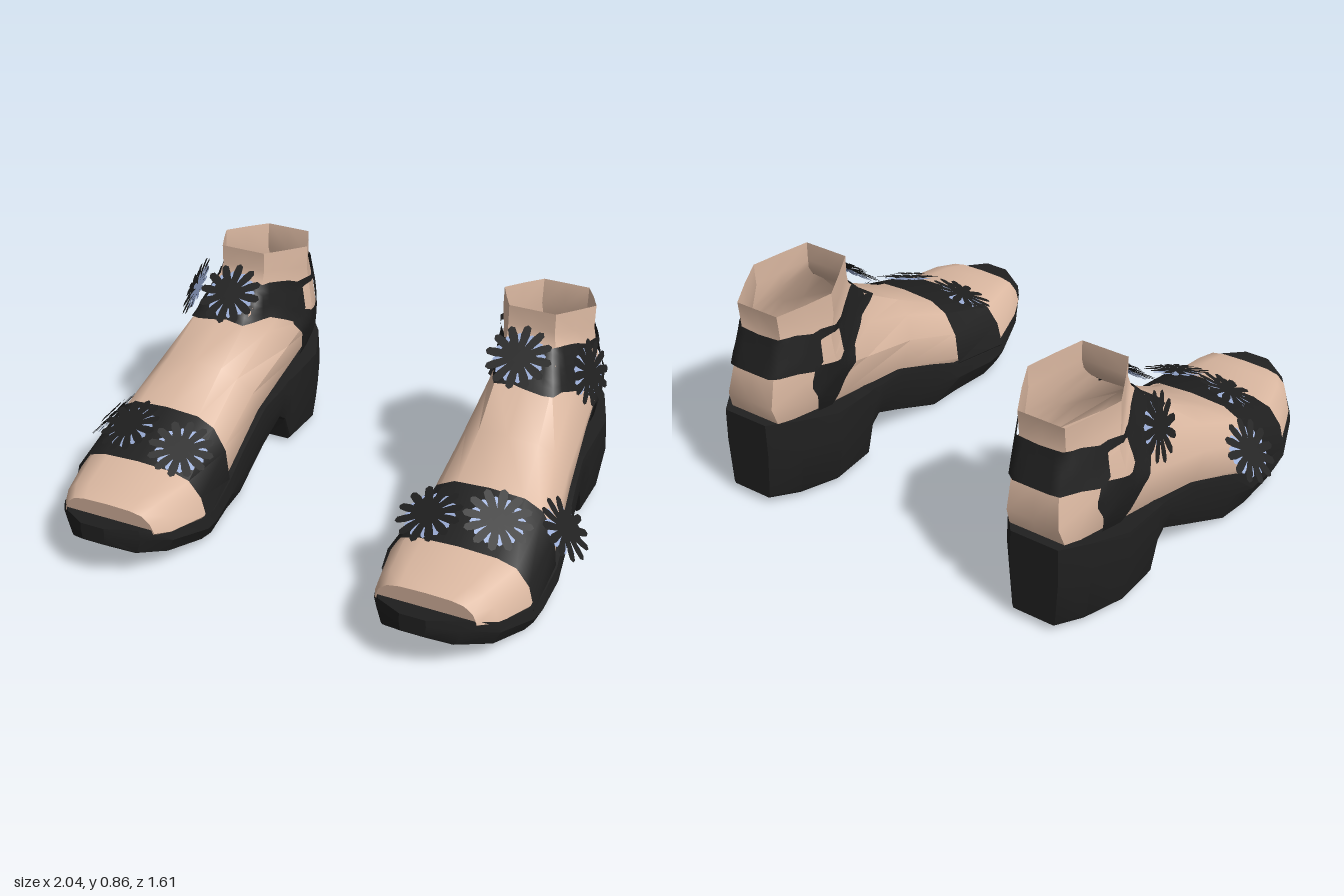
import * as THREE from 'three';
import { toCreasedNormals } from 'three/addons/utils/BufferGeometryUtils.js';

const makeMaterial = (name, color) => {
  const m = new THREE.MeshStandardMaterial({ color, side: THREE.DoubleSide });
  m.name = name;
  return m;
};

// Half outlines of a cross-section: [distance from top to bottom, fraction of half width]
const TOE = [[0, 0], [0.03, 0.5], [0.13, 0.75], [0.42, 0.92], [0.85, 1], [1, 0.92], [1, 0]];
const ANKLE = [[0, 0], [0, 0.5], [0.25, 0.76], [0.5, 1], [0.75, 0.77], [1, 0.5], [1, 0]];
const SOLE = [[0, 0], [0, 0.6], [0, 0.97], [0.4, 1], [0.96, 0.89], [1, 0.84], [1, 0]];

// Closed ring between a top point and a bottom point (z, y), spanning x0..x1
function ring(profile, [tz, ty, bz, by, x0, x1]) {
  const cx = (x0 + x1) / 2, hw = (x1 - x0) / 2;
  const point = ([t, w], s) => [cx + s * w * hw, ty + (by - ty) * t, tz + (bz - tz) * t];
  const right = profile.map(p => point(p, 1));
  const left = profile.slice(1, -1).reverse().map(p => point(p, -1));
  return [...right, ...left];
}

// Skin over rings, with optional flat ends
function loft(rings, capStart, capEnd, crease) {
  const n = rings[0].length, pos = rings.flat(2), idx = [];
  for (let i = 0; i < rings.length - 1; i++) {
    for (let j = 0; j < n; j++) {
      const a = i * n + j, b = i * n + (j + 1) % n;
      idx.push(a, b, a + n, b, b + n, a + n);
    }
  }
  const last = (rings.length - 1) * n;
  for (let j = 1; j < n - 1; j++) {
    if (capStart) idx.push(0, j + 1, j);
    if (capEnd) idx.push(last, last + j, last + j + 1);
  }
  const g = new THREE.BufferGeometry();
  g.setAttribute('position', new THREE.Float32BufferAttribute(pos, 3));
  g.setIndex(idx);
  return toCreasedNormals(g, crease);
}

const mixProfile = k => TOE.map((p, i) => p.map((v, c) => v + (ANKLE[i][c] - v) * k));

// Foot stations: ankle blend, then top z, y, bottom z, y, inner x, outer x
const FOOT = [
  [0, 0.70, 0.265, 0.69, 0.17, 0.44, 0.82],
  [0, 0.62, 0.28, 0.62, 0.14, 0.41, 0.87],
  [0, 0.45, 0.29, 0.45, 0.11, 0.37, 0.925],
  [0.1, 0.20, 0.39, 0.20, 0.12, 0.405, 0.92],
  [0.35, 0.0, 0.505, -0.14, 0.23, 0.42, 0.88],
  [0.7, -0.20, 0.63, -0.50, 0.27, 0.415, 0.845],
  [0.9, -0.27, 0.685, -0.75, 0.32, 0.41, 0.83],
  [1, -0.29, 0.705, -0.785, 0.43, 0.41, 0.82],
  [1, -0.32, 0.74, -0.76, 0.55, 0.42, 0.795],
  [1, -0.33, 0.78, -0.71, 0.69, 0.42, 0.785],
  [1, -0.33, 0.855, -0.72, 0.79, 0.42, 0.785],
];

// Sole stations: z, inner x, outer x, bottom y, top y
const SOLE_STATIONS = [
  [0.805, 0.58, 0.68, 0.165, 0.235], [0.74, 0.47, 0.78, 0.115, 0.22],
  [0.62, 0.405, 0.88, 0.065, 0.165], [0.45, 0.355, 0.94, 0.025, 0.125],
  [0.37, 0.36, 0.945, 0.003, 0.125], [0.20, 0.39, 0.94, 0, 0.14],
  [0.07, 0.40, 0.92, 0, 0.2], [-0.14, 0.41, 0.885, 0.095, 0.285],
  [-0.28, 0.405, 0.86, 0.16, 0.30], [-0.33, 0.405, 0.86, 0.12, 0.31],
  [-0.36, 0.40, 0.86, 0.015, 0.31], [-0.55, 0.39, 0.86, 0.018, 0.33],
  [-0.70, 0.455, 0.80, 0.023, 0.355], [-0.80, 0.535, 0.73, 0.03, 0.36],
];

// Strip laid over the ankle: columns of [degrees from the front, low y, high y]
function drape(target, columns, side) {
  const caster = new THREE.Raycaster(), pos = [], idx = [], rows = 6, steps = 5;
  const count = (columns.length - 1) * steps;
  for (let i = 0; i <= count; i++) {
    const k = Math.min(Math.floor(i / steps), columns.length - 2), f = i / steps - k;
    const [deg, lo, hi] = columns[k].map((v, c) => v + (columns[k + 1][c] - v) * f);
    const a = THREE.MathUtils.degToRad(deg) * side;
    const dir = new THREE.Vector3(Math.sin(a), 0, Math.cos(a));
    for (let j = 0; j <= rows; j++) {
      caster.set(new THREE.Vector3(0.6, lo + (hi - lo) * j / rows, -0.52), dir);
      const hit = caster.intersectObject(target)[0];
      const p = hit ? hit.point : caster.ray.at(0.2, new THREE.Vector3());
      p.addScaledVector(dir, 0.014);
      pos.push(p.x, p.y, p.z);
      if (i < count && j < rows) {
        const q = i * (rows + 1) + j, r = q + rows + 1;
        idx.push(q, r, q + 1, r, r + 1, q + 1);
      }
    }
  }
  const g = new THREE.BufferGeometry();
  g.setAttribute('position', new THREE.Float32BufferAttribute(pos, 3));
  g.setIndex(idx);
  g.computeVertexNormals();
  return g;
}

// Flat ring of rounded petals
function petals(radius, count, turn) {
  const outline = [[-0.5, 0.36], [-0.36, 0.7], [-0.22, 0.93], [0, 1], [0.22, 0.93], [0.36, 0.7]];
  const pts = [], step = Math.PI * 2 / count;
  for (let k = 0; k < count; k++) {
    for (const [f, r] of outline) {
      const a = (k + f + turn) * step;
      pts.push(new THREE.Vector2(Math.cos(a) * r * radius, Math.sin(a) * r * radius));
    }
  }
  return new THREE.ShapeGeometry(new THREE.Shape(pts));
}

export function createModel() {
  const skin = makeMaterial('skin', 0xdcb9a2);
  const black = makeMaterial('black leather', 0x202020);
  const blue = makeMaterial('pale blue petal', 0x9db0da);
  const model = new THREE.Group();
  const shoe = new THREE.Group();
  model.name = 'sandals';
  shoe.name = 'leftSandal';
  const add = (parent, name, geometry, material) => {
    const mesh = new THREE.Mesh(geometry, material);
    mesh.name = name;
    parent.add(mesh);
    return mesh;
  };

  // Foot, open at the ankle
  const footRings = FOOT.map(([k, ...s]) => ring(mixProfile(k), s));
  const foot = add(shoe, 'foot', loft(footRings, true, false, 0.7), skin);

  // Sole with block heel
  const soleRings = SOLE_STATIONS.map(([z, x0, x1, yb, yt]) => ring(SOLE, [z, yt, z, yb, x0, x1]));
  add(shoe, 'sole', loft(soleRings, true, true, 0.5), black);

  // Strap over the toes
  const toeRings = [FOOT[2], FOOT[3]].map(([k, tz, ty, bz, by, x0, x1]) =>
    ring(mixProfile(k), [tz, ty + 0.014, bz, by - 0.02, x0 - 0.013, x1 + 0.013]));
  add(shoe, 'toeStrap', loft(toeRings, false, false, 0.7), black);

  // Ankle strap with a round opening and a stay down to the heel on each side
  const strapParts = {
    ankleStrapFront: [[0, 0.62, 0.735], [30, 0.6, 0.73], [57, 0.54, 0.71], [72, 0.54, 0.69], [80, 0.57, 0.67]],
    ankleStrapBack: [[112, 0.57, 0.67], [120, 0.54, 0.69], [140, 0.55, 0.7], [180, 0.55, 0.69]],
    openingRim: [[70, 0.64, 0.69], [82, 0.66, 0.695], [96, 0.672, 0.7], [110, 0.66, 0.7], [120, 0.64, 0.69]],
    heelStay: [[57, 0.53, 0.6], [72, 0.46, 0.575], [89, 0.32, 0.55], [116, 0.32, 0.56], [121, 0.43, 0.56], [126, 0.47, 0.5]],
  };
  for (const side of [1, -1]) {
    for (const [name, columns] of Object.entries(strapParts)) {
      add(shoe, name, drape(foot, columns, side), black);
    }
  }

  // Flowers: position, then facing direction
  const outer = petals(0.128, 12, 0), under = petals(0.1, 12, 0.5), inner = petals(0.07, 9, 0.25);
  const flowers = [
    [[0.6, 0.71, -0.215], [0, 0.75, 0.67]],
    [[0.825, 0.635, -0.35], [0.95, 0.32, 0.15]],
    [[0.93, 0.275, 0.155], [0.76, 0.65, 0]],
    [[0.745, 0.365, 0.33], [0.25, 0.9, 0.38]],
    [[0.505, 0.345, 0.37], [-0.2, 0.9, 0.38]],
  ];
  for (const [at, facing] of flowers) {
    const flower = new THREE.Group();
    flower.name = 'flower';
    add(flower, 'underPetals', under, blue);
    add(flower, 'outerPetals', outer, black).position.z = 0.01;
    add(flower, 'innerPetals', inner, black).position.z = 0.022;
    flower.position.set(...at);
    flower.quaternion.setFromUnitVectors(new THREE.Vector3(0, 0, 1), new THREE.Vector3(...facing).normalize());
    shoe.add(flower);
  }

  // Mirrored pair
  const other = shoe.clone();
  other.name = 'rightSandal';
  other.scale.x = -1;
  model.add(shoe, other);
  return model;
}
